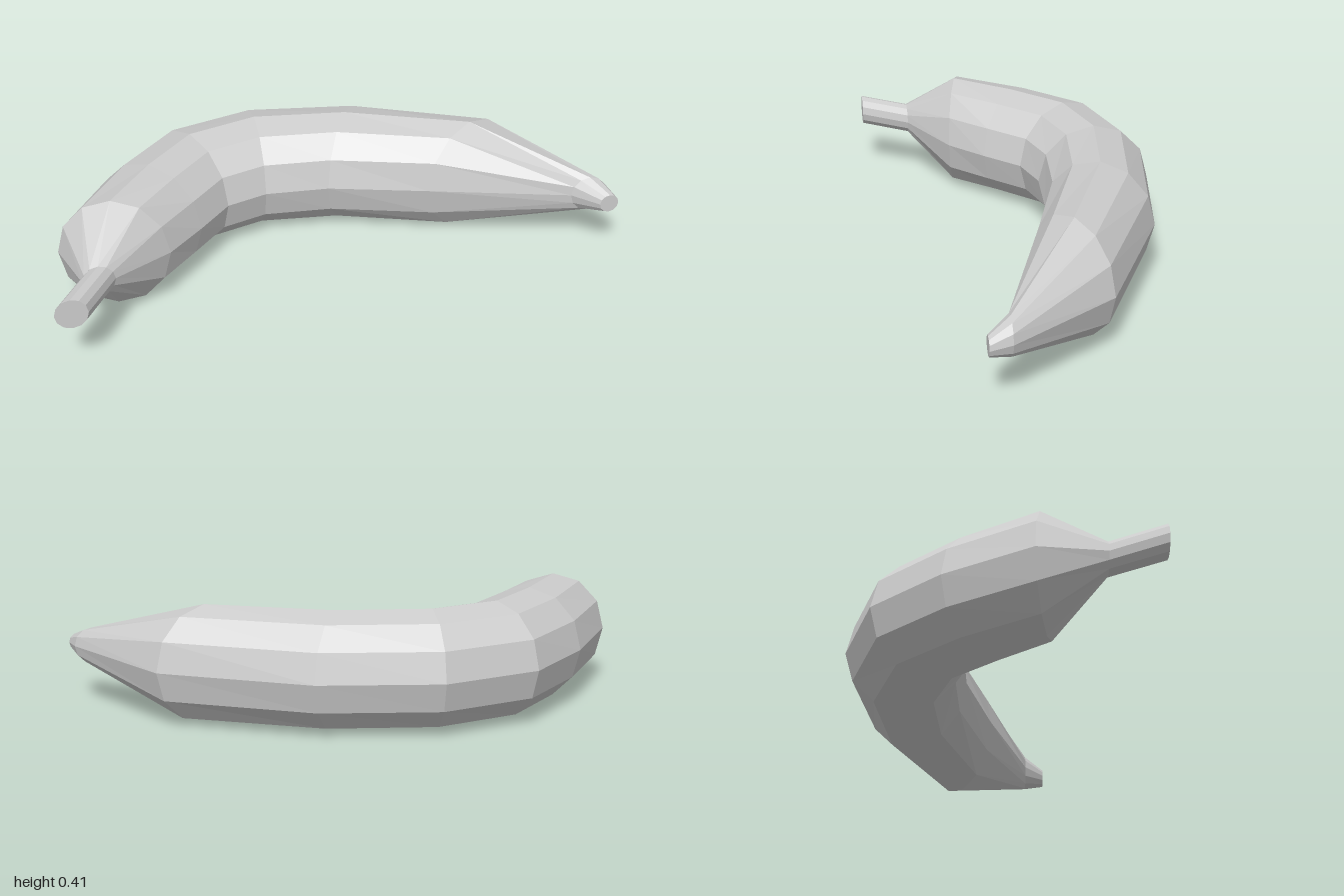
import * as THREE from 'three';

// Cross-sections: outer x,z / inner x,z / centre height / vertical radius
const STEM = [
  [-1, 0.5, -0.89, 0.5, 0.235, 0.055],
  [-0.895, 0.33, -0.785, 0.33, 0.23, 0.055],
];
const BODY = [
  STEM[1],
  [-0.955, 0.1, -0.585, 0.19, 0.206, 0.206],
  [-0.77, -0.18, -0.46, 0.07, 0.206, 0.206],
  [-0.545, -0.405, -0.345, -0.05, 0.206, 0.206],
  [-0.2, -0.5, -0.2, -0.095, 0.206, 0.206],
  [0.225, -0.43, 0.025, -0.08, 0.206, 0.206],
  [0.72, -0.185, 0.37, 0.02, 0.206, 0.206],
  [0.98, 0.18, 0.85, 0.18, 0.217, 0.066],
];
const TIP = [
  BODY[BODY.length - 1],
  [0.998, 0.255, 0.93, 0.255, 0.213, 0.034],
];
const SIDES = 12;

// Skin a row of elliptical sections, closing either end if asked
function loft(sections, capStart, capEnd) {
  const pos = [], index = [];
  for (const [ox, oz, ix, iz, y, r] of sections) {
    const cx = (ox + ix) / 2, cz = (oz + iz) / 2;
    for (let j = 0; j < SIDES; j++) {
      const a = (j / SIDES) * Math.PI * 2, c = Math.cos(a);
      pos.push(cx + (ox - cx) * c, y + r * Math.sin(a), cz + (oz - cz) * c);
    }
  }
  for (let i = 0; i < sections.length - 1; i++) {
    for (let j = 0; j < SIDES; j++) {
      const k = (j + 1) % SIDES, p = i * SIDES, q = p + SIDES;
      index.push(p + j, p + k, q + k, p + j, q + k, q + j);
    }
  }
  const last = (sections.length - 1) * SIDES;
  for (let j = 1; j < SIDES - 1; j++) {
    if (capStart) index.push(0, j + 1, j);
    if (capEnd) index.push(last, last + j, last + j + 1);
  }
  const indexed = new THREE.BufferGeometry();
  indexed.setAttribute('position', new THREE.Float32BufferAttribute(pos, 3));
  indexed.setIndex(index);
  // Separate the faces so each one is flat
  const geometry = indexed.toNonIndexed();
  geometry.computeVertexNormals();
  return geometry;
}

export function createModel() {
  const group = new THREE.Group();
  group.name = 'banana';
  const peel = new THREE.MeshStandardMaterial({ color: 0xcccccc });
  peel.name = 'peelGrey';
  peel.flatShading = true;

  const add = (name, geometry) => {
    const mesh = new THREE.Mesh(geometry, peel);
    mesh.name = name;
    group.add(mesh);
  };
  add('stem', loft(STEM, true, false));
  add('body', loft(BODY, false, false));
  add('tip', loft(TIP, false, true));
  return group;
}
